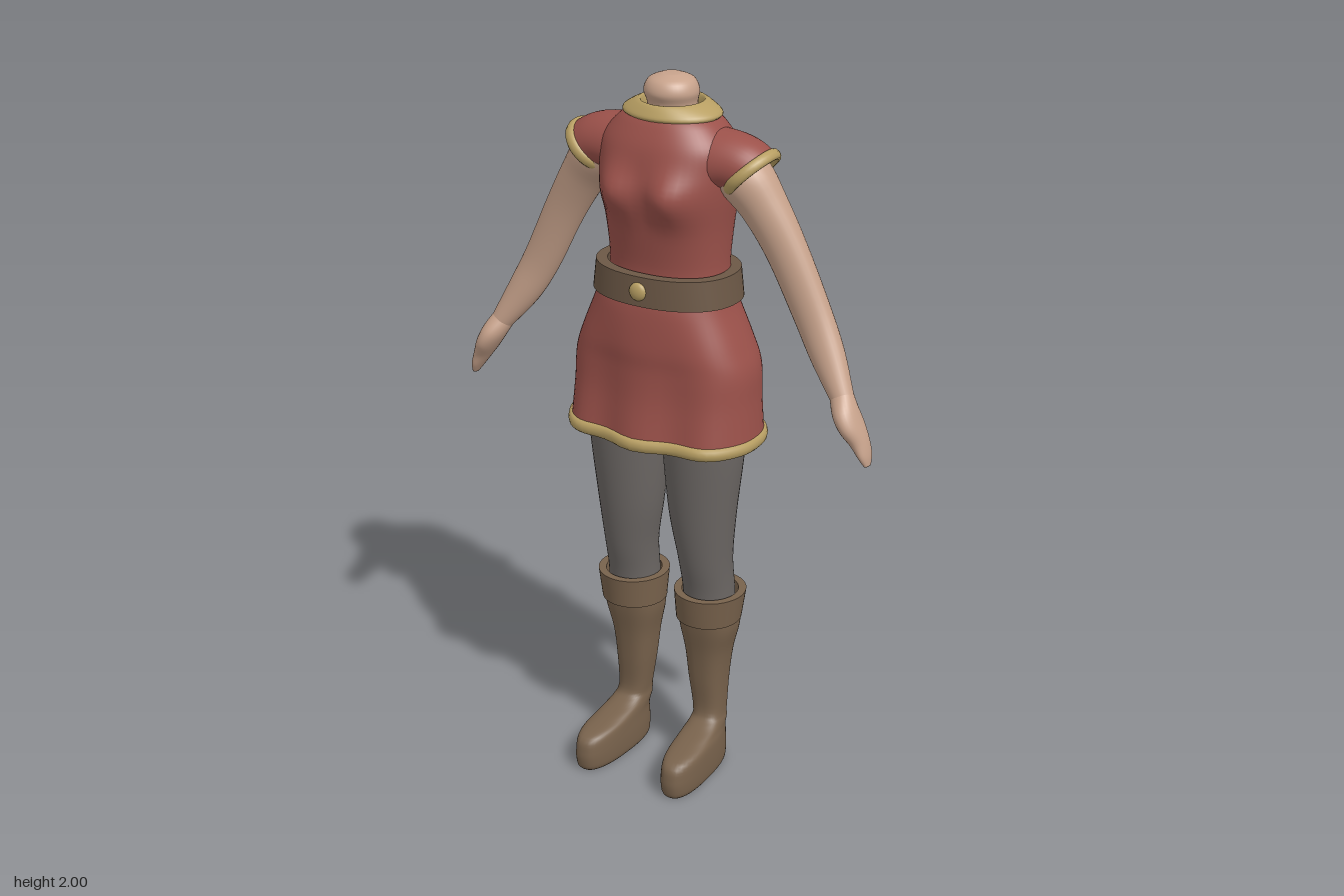
import * as THREE from 'three';
import { toCreasedNormals } from 'three/addons/utils/BufferGeometryUtils.js';

const mat = (name, color, side = THREE.FrontSide) => {
  const m = new THREE.MeshStandardMaterial({ color, side });
  m.name = name;
  return m;
};

// Smooth value between p1 and p2 (Catmull-Rom)
const spline = (p0, p1, p2, p3, t) =>
  p1 + 0.5 * t * (p2 - p0 + t * (2 * p0 - 5 * p1 + 4 * p2 - p3 + t * (3 * (p1 - p2) + p3 - p0)));

// Skin over rings listed from top to bottom: [x, y, z, radiusX, radiusFront, radiusBack, tiltDegrees]
function loft(rows, { seg = 40, sub = 5, power = 1, shape = null, side = 1, capTop = false, capEnd = false, crease = false } = {}) {
  const rings = [];
  const last = rows.length - 1;
  for (let i = 0; i < last; i++) {
    for (let k = 0; k < sub; k++) {
      const at = (j, c) => rows[Math.min(last, Math.max(0, j))][c] ?? 0;
      rings.push([0, 1, 2, 3, 4, 5, 6].map(c => spline(at(i - 1, c), at(i, c), at(i + 1, c), at(i + 2, c), k / sub)));
    }
  }
  rings.push([0, 1, 2, 3, 4, 5, 6].map(c => rows[last][c] ?? 0));
  const pos = [], index = [];
  const bend = v => Math.sign(v) * Math.abs(v) ** power;
  const p = new THREE.Vector3();
  for (const [x, y, z, rx, rf, rb, tilt] of rings) {
    const t = THREE.MathUtils.degToRad(tilt);
    for (let j = 0; j < seg; j++) {
      const a = j / seg * Math.PI * 2, u = rx * bend(Math.cos(a)), s = bend(Math.sin(a));
      p.set(x + u * Math.cos(t), y + u * Math.sin(t), z + s * (s > 0 ? rf : rb));
      if (shape) shape(p);
      pos.push(p.x * side, p.y, p.z);
    }
  }
  const tri = (a, b, c) => side > 0 ? index.push(a, b, c) : index.push(a, c, b);
  for (let i = 0; i < rings.length - 1; i++) {
    for (let j = 0; j < seg; j++) {
      const a = i * seg + j, b = i * seg + (j + 1) % seg;
      tri(a, b, a + seg);
      tri(b, b + seg, a + seg);
    }
  }
  const cap = (ring, start, flip) => {
    const c = pos.length / 3;
    pos.push(ring[0] * side, ring[1], ring[2]);
    for (let j = 0; j < seg; j++) {
      const a = start + j, b = start + (j + 1) % seg;
      flip ? tri(c, b, a) : tri(c, a, b);
    }
  };
  if (capTop) cap(rings[0], 0, true);
  if (capEnd) cap(rings[rings.length - 1], (rings.length - 1) * seg, false);
  const g = new THREE.BufferGeometry();
  g.setAttribute('position', new THREE.Float32BufferAttribute(pos, 3));
  g.setIndex(index);
  if (crease) return toCreasedNormals(g, 0.7);
  g.computeVertexNormals();
  return g;
}

// Flat strap with thickness between an upper and a lower ring
function strap(top, bottom, th, opts) {
  const inset = ([x, y, z, rx, f, b, t]) => [x, y, z, rx - th, f - th, b - th, t];
  return loft([inset(top), top, bottom, inset(bottom), inset(top)], { sub: 1, crease: true, ...opts });
}

// Round piping that follows one ring
function piping(ring, half, th, opts) {
  const rows = [];
  const t = THREE.MathUtils.degToRad(ring[6] ?? 0);
  for (let i = 0; i <= 10; i++) {
    const a = Math.PI - i / 10 * Math.PI * 2;
    const d = Math.cos(a) * th, h = Math.sin(a) * half;
    const [x, y, z, rx, f, b, tilt] = ring;
    rows.push([x - Math.sin(t) * h, y + Math.cos(t) * h, z, rx + d, f + d, b + d, tilt]);
  }
  return loft(rows, { sub: 1, ...opts });
}

// Soft folds in the front and fullness in the back of the skirt
function skirtShape(p) {
  const ax = Math.abs(p.x);
  if (p.z < 0) {
    p.z -= 0.03 * Math.exp(-(((ax - 0.11) / 0.07) ** 2) - ((p.y - 1.22) / 0.11) ** 2) * Math.min(1, -p.z * 10);
  } else {
    const fade = THREE.MathUtils.clamp((1.4 - p.y) / 0.35, 0, 1);
    p.z += 0.011 * Math.cos(p.x * 30) * fade * Math.min(1, p.z * 10);
  }
}

// Chest fullness and a shallow line along the spine
function torsoShape(p) {
  if (p.z > 0) p.z += 0.04 * Math.exp(-(((Math.abs(p.x) - 0.085) / 0.06) ** 2) - ((p.y - 1.71) / 0.065) ** 2) * Math.min(1, p.z * 12);
  else p.z += 0.012 * Math.exp(-((p.x / 0.05) ** 2)) * Math.min(1, -p.z * 10);
}

export function createModel() {
  const model = new THREE.Group();
  model.name = 'tunicFigure';
  const skin = mat('skin', 0xc7a28b);
  const cloth = mat('redCloth', 0x9b514a, THREE.DoubleSide);
  const trim = mat('goldTrim', 0xb89f63);
  const belt = mat('beltLeather', 0x6c5846);
  const boots = mat('bootLeather', 0x78624c);
  const wool = mat('greyLeggings', 0x6c6764);
  const add = (name, geometry, material) => {
    const m = new THREE.Mesh(geometry, material);
    m.name = name;
    model.add(m);
    return m;
  };

  // Neck stump and collar
  add('neck', loft([
    [0, 1.86, -0.03, 0.075, 0.075, 0.075], [0, 1.92, -0.03, 0.066, 0.066, 0.066],
    [0, 1.955, -0.025, 0.073, 0.073, 0.073], [0, 1.985, -0.025, 0.06, 0.06, 0.06],
    [0, 2, -0.025, 0.025, 0.025, 0.025],
  ].reverse(), { capTop: true }), skin);
  add('collar', loft([
    [0, 1.9, -0.03, 0.078, 0.075, 0.075], [0, 1.925, -0.03, 0.082, 0.08, 0.08],
    [0, 1.932, -0.03, 0.09, 0.09, 0.09], [0, 1.912, -0.03, 0.128, 0.105, 0.104],
    [0, 1.898, -0.03, 0.137, 0.11, 0.11], [0, 1.887, -0.03, 0.12, 0.095, 0.1],
  ], { sub: 3 }), trim);

  // Tunic
  add('tunicTop', loft([
    [0, 1.905, -0.02, 0.11, 0.085, 0.1], [0, 1.88, -0.02, 0.145, 0.105, 0.12],
    [0, 1.83, -0.02, 0.185, 0.13, 0.135], [0, 1.77, -0.02, 0.193, 0.142, 0.14],
    [0, 1.7, -0.02, 0.188, 0.148, 0.14], [0, 1.6, -0.02, 0.174, 0.135, 0.13],
    [0, 1.5, -0.02, 0.168, 0.122, 0.115], [0, 1.44, -0.02, 0.175, 0.13, 0.125],
  ], { shape: torsoShape, power: 0.9, seg: 56, capTop: true }), cloth);
  add('skirt', loft([
    [0, 1.46, 0, 0.18, 0.125, 0.145], [0, 1.4, 0, 0.195, 0.143, 0.16],
    [0, 1.3, 0, 0.237, 0.15, 0.18], [0, 1.23, 0, 0.261, 0.146, 0.195],
    [0, 1.14, 0, 0.267, 0.15, 0.19], [0, 1.03, 0, 0.276, 0.167, 0.188],
  ], { shape: skirtShape, power: 0.85, seg: 64 }), cloth);
  add('skirtHem', piping([0, 1.033, 0, 0.273, 0.166, 0.187], 0.018, 0.012, { shape: skirtShape, power: 0.85, seg: 64 }), trim);

  // Belt and buckle
  add('belt', strap([0, 1.495, -0.01, 0.2, 0.15, 0.153], [0, 1.415, -0.01, 0.209, 0.155, 0.155], 0.03, { power: 0.9, seg: 56 }), belt);
  const buckle = add('buckle', new THREE.SphereGeometry(0.025, 20, 12), trim);
  buckle.scale.z = 0.5;
  buckle.position.set(0, 1.455, 0.143);

  for (const side of [1, -1]) {
    const tag = side > 0 ? 'left' : 'right';

    // Short sleeve with gold edge
    add(tag + 'Sleeve', loft([
      [0.12, 1.78, -0.025, 0.1, 0.095, 0.1, 72], [0.165, 1.785, -0.025, 0.092, 0.09, 0.095, 65],
      [0.205, 1.785, -0.025, 0.083, 0.085, 0.088, 56], [0.24, 1.775, -0.025, 0.076, 0.08, 0.08, 45],
    ], { side }), cloth);
    add(tag + 'SleeveTrim', piping([0.241, 1.773, -0.025, 0.074, 0.081, 0.081, 45], 0.016, 0.011, { side }), trim);

    // Arm and hand
    add(tag + 'Arm', loft([
      [0.17, 1.79, -0.025, 0.06, 0.065, 0.065, 50], [0.225, 1.752, -0.025, 0.072, 0.073, 0.073, 43],
      [0.28, 1.68, -0.03, 0.064, 0.058, 0.058, 34], [0.345, 1.57, -0.035, 0.058, 0.047, 0.047, 28],
      [0.42, 1.42, -0.035, 0.054, 0.042, 0.042, 28], [0.475, 1.32, -0.022, 0.048, 0.041, 0.041, 29],
      [0.535, 1.225, 0.005, 0.031, 0.033, 0.033, 30],
    ], { side, seg: 28 }), skin);
    add(tag + 'Hand', loft([
      [0.528, 1.236, 0.002, 0.031, 0.033, 0.033, 30], [0.55, 1.198, 0.017, 0.032, 0.047, 0.042, 29],
      [0.572, 1.16, 0.02, 0.029, 0.049, 0.046, 27], [0.595, 1.12, 0.018, 0.023, 0.034, 0.036, 25],
      [0.612, 1.085, 0.018, 0.015, 0.028, 0.028, 20], [0.621, 1.06, 0.02, 0.007, 0.014, 0.014, 18],
    ], { side, seg: 28, capEnd: true }), skin);

    // Legging
    add(tag + 'Legging', loft([
      [0.115, 1.16, 0, 0.118, 0.11, 0.125], [0.117, 1, 0, 0.115, 0.105, 0.112],
      [0.115, 0.8, 0, 0.094, 0.088, 0.1], [0.12, 0.66, -0.01, 0.076, 0.078, 0.08],
      [0.122, 0.56, -0.025, 0.072, 0.072, 0.077], [0.122, 0.48, -0.03, 0.075, 0.07, 0.075],
    ], { side, capTop: true }), wool);

    // Boot: folded cuff, shaft and foot
    add(tag + 'BootCuff', strap([0.125, 0.55, -0.029, 0.1, 0.103, 0.104], [0.122, 0.465, -0.027, 0.091, 0.092, 0.095], 0.022, { side }), boots);
    add(tag + 'Boot', loft([
      [0.122, 0.51, -0.03, 0.083, 0.08, 0.085], [0.122, 0.44, -0.033, 0.081, 0.075, 0.08],
      [0.12, 0.36, -0.036, 0.064, 0.064, 0.067], [0.12, 0.27, -0.036, 0.054, 0.055, 0.056],
      [0.125, 0.17, -0.035, 0.045, 0.048, 0.046], [0.127, 0.14, -0.025, 0.047, 0.07, 0.056],
      [0.128, 0.12, 0.02, 0.05, 0.1, 0.1], [0.13, 0.098, 0.062, 0.054, 0.145, 0.142],
      [0.13, 0.055, 0.07, 0.056, 0.155, 0.153], [0.13, 0.015, 0.07, 0.054, 0.153, 0.152],
      [0.13, 0, 0.07, 0.047, 0.145, 0.146],
    ], { side, power: 0.8, capEnd: true, shape: p => { if (p.y < 0.16) p.x += 0.05 * (p.z + 0.03); } }), boots);
  }
  return model;
}
